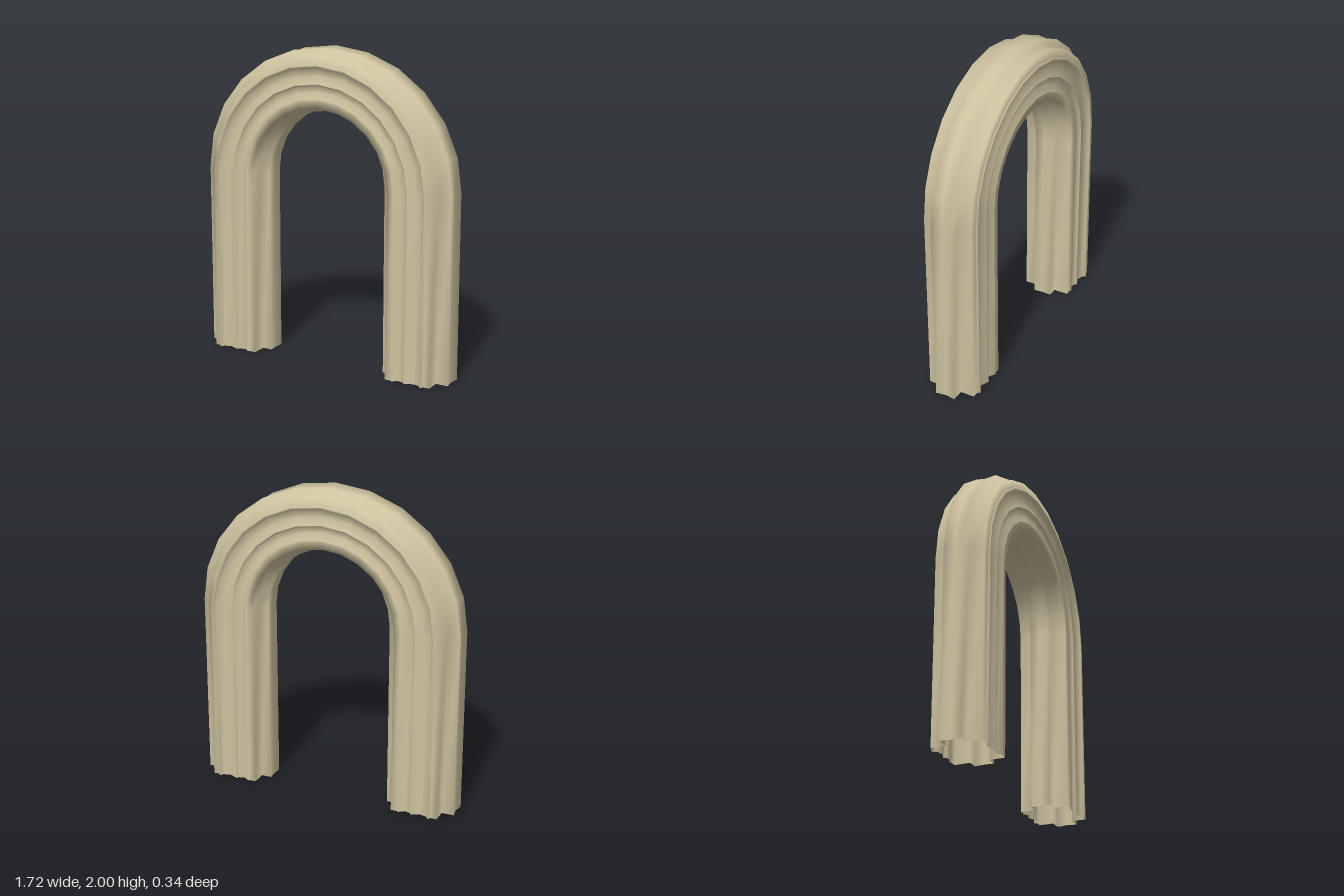
import * as THREE from 'three';

// Half of the moulding section: [x on the leg, z, height at the crown], outer edge to inner edge
const HALF = [
  [0.85, 0, 1.99],
  [0.86, 0.065, 2.0],
  [0.78, 0.065, 1.96],
  [0.78, 0.157, 1.96],
  [0.735, 0.157, 1.91],
  [0.735, 0.172, 1.91],
  [0.72, 0.172, 1.893],
  [0.715, 0.152, 1.887],
  [0.665, 0.14, 1.84],
  [0.615, 0.162, 1.793],
  [0.605, 0.162, 1.785],
  [0.6, 0.148, 1.778],
  [0.56, 0.14, 1.74],
  [0.525, 0.165, 1.7],
  [0.515, 0.157, 1.69],
  [0.475, 0.157, 1.645],
  [0.475, 0.06, 1.645],
  [0.41, 0.06, 1.613],
  [0.415, 0, 1.618],
];
const SPRING = 1.18; // height where the legs turn into the arch
const ARC_STEPS = 12;

function archGeometry() {
  // Mirror the section to the back to close the loop
  const back = HALF.slice(1, -1).reverse().map(([x, z, top]) => [x, -z, top]);
  const section = [...HALF, ...back];
  const n = section.length;
  const positions = [];
  const ring = (place) => section.forEach((p) => {
    const [x, y] = place(p);
    positions.push(x, y, p[1]);
  });

  // Left foot, elliptical arch, right foot
  ring(([x]) => [x, 0]);
  for (let i = 0; i <= ARC_STEPS; i++) {
    const a = (i / ARC_STEPS) * Math.PI;
    ring(([x, , top]) => [x * Math.cos(a), SPRING + (top - SPRING) * Math.sin(a)]);
  }
  ring(([x]) => [-x, 0]);

  // Skin between the rings; both feet stay open underneath
  const index = [];
  for (let i = 0; i < ARC_STEPS + 2; i++) {
    for (let j = 0; j < n; j++) {
      const a = i * n + j;
      const b = i * n + ((j + 1) % n);
      index.push(a, a + n, b, b, a + n, b + n);
    }
  }
  const geometry = new THREE.BufferGeometry();
  geometry.setAttribute('position', new THREE.Float32BufferAttribute(positions, 3));
  geometry.setIndex(index);
  geometry.computeVertexNormals();
  return geometry;
}

export function createModel() {
  const sandstone = new THREE.MeshStandardMaterial({ color: 0xcec3a0, side: THREE.DoubleSide });
  sandstone.name = 'sandstone';

  const arch = new THREE.Mesh(archGeometry(), sandstone);
  arch.name = 'mouldedArch';

  const group = new THREE.Group();
  group.name = 'archway';
  group.add(arch);
  return group;
}
